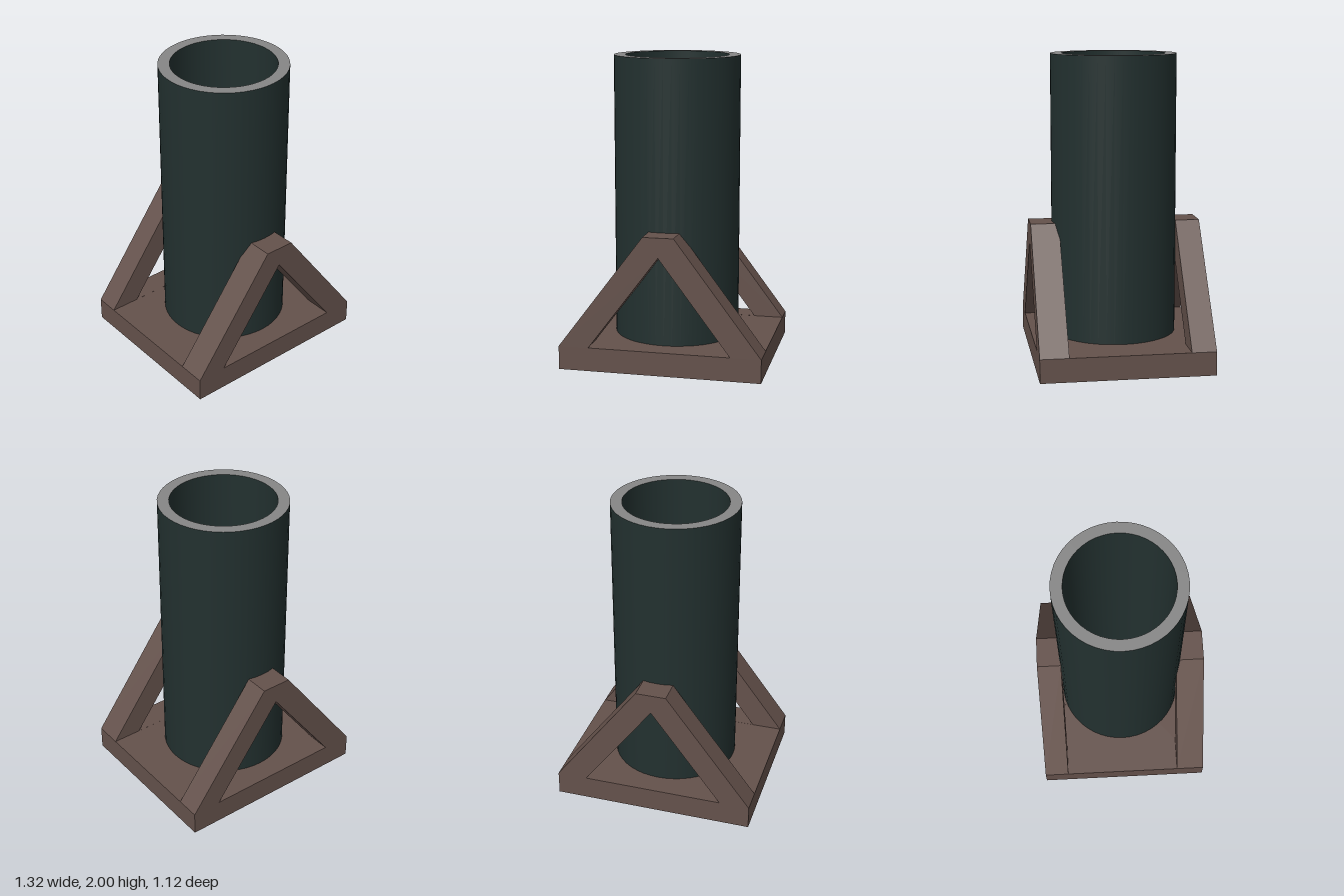
import * as THREE from 'three';

const wood = new THREE.MeshStandardMaterial({ color: 0x64514b });
wood.name = 'brown wood';
const iron = new THREE.MeshStandardMaterial({ color: 0x22302f, side: THREE.DoubleSide });
iron.name = 'dark iron';
const steel = new THREE.MeshStandardMaterial({ color: 0x868686 });
steel.name = 'grey rim';

const BASE_TOP = 0.155, HEIGHT = 2, OUTER = 0.412, INNER = 0.338, SEGMENTS = 48;

function add(group, name, geometry, material, x = 0, y = 0, z = 0) {
  const mesh = new THREE.Mesh(geometry, material);
  mesh.name = name;
  mesh.position.set(x, y, z);
  group.add(mesh);
  return mesh;
}

// Triangular side frame with a flat top and a triangular opening
function frameGeometry(depth) {
  const shape = new THREE.Shape([
    [-0.66, BASE_TOP], [0.66, BASE_TOP], [0.1, 0.9], [-0.1, 0.9],
  ].map(([x, y]) => new THREE.Vector2(x, y)));
  // The opening reaches the base, so its lower edge sits a hair above it
  shape.holes.push(new THREE.Path([
    [-0.462, BASE_TOP + 0.0005], [0, 0.77], [0.462, BASE_TOP + 0.0005],
  ].map(([x, y]) => new THREE.Vector2(x, y))));
  return new THREE.ExtrudeGeometry(shape, { depth, bevelEnabled: false });
}

export function createModel() {
  const model = new THREE.Group();
  model.name = 'tubeOnStand';

  // Stand
  add(model, 'basePlate', new THREE.BoxGeometry(1.32, BASE_TOP, 1.12), wood, 0, BASE_TOP / 2, 0);
  add(model, 'frontFrame', frameGeometry(0.185), wood, 0, 0, 0.375);
  add(model, 'backFrame', frameGeometry(0.16), wood, 0, 0, -0.56);

  // Hollow upright tube
  const length = HEIGHT - BASE_TOP;
  for (const [name, radius] of [['outerTube', OUTER], ['innerTube', INNER]]) {
    add(model, name, new THREE.CylinderGeometry(radius, radius, length, SEGMENTS, 1, true),
      iron, 0, BASE_TOP + length / 2, 0);
  }
  const rim = add(model, 'tubeRim', new THREE.RingGeometry(INNER, OUTER, SEGMENTS), steel, 0, HEIGHT, 0);
  rim.rotation.x = -Math.PI / 2;

  return model;
}
